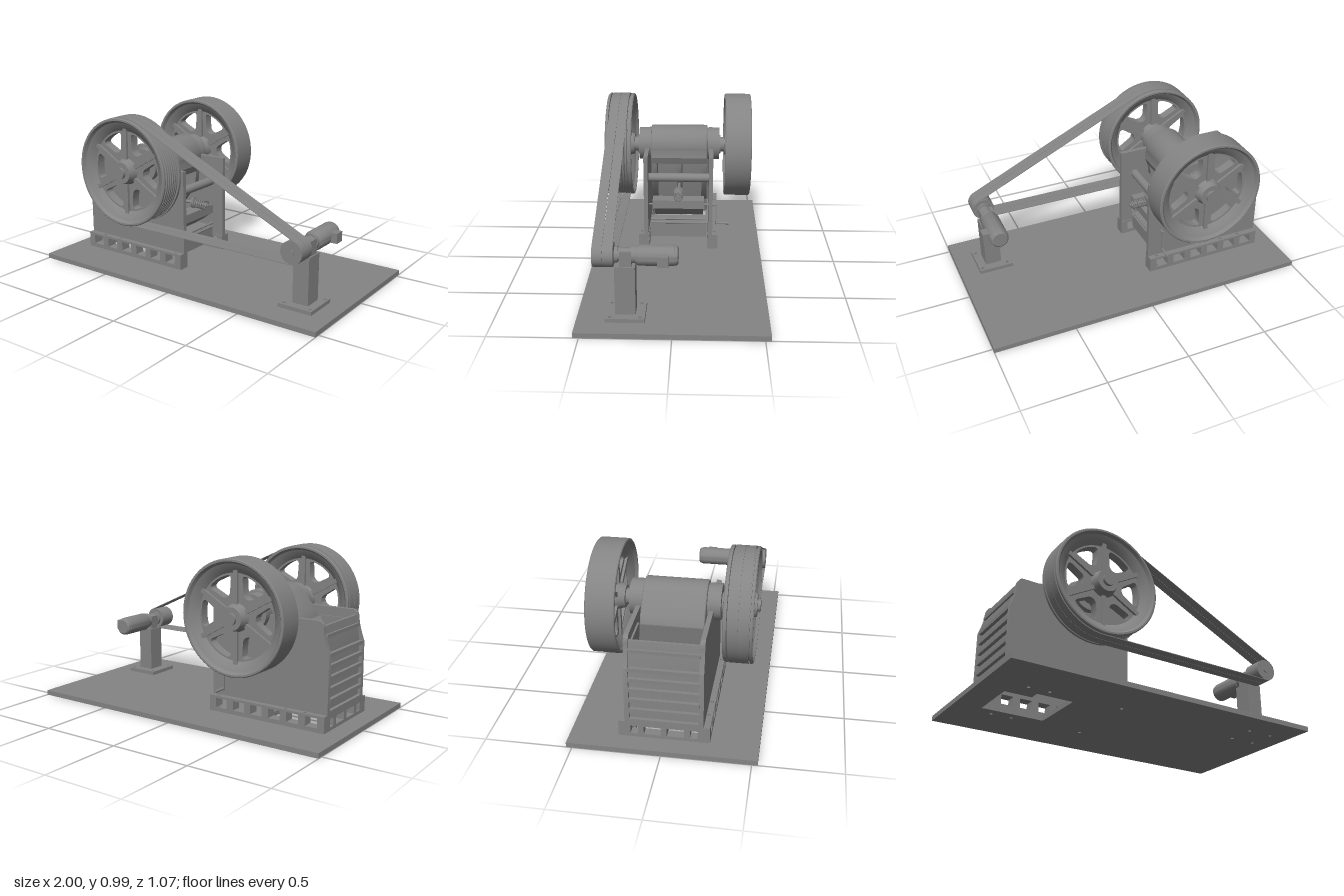
import * as THREE from 'three';
import { toCreasedNormals } from 'three/addons/utils/BufferGeometryUtils.js';

const mat = new THREE.MeshStandardMaterial({ color: 0x848484 });
const AX = -0.4, AY = 0.657;     // flywheel axle
const MX = 0.78, MY = 0.395;     // motor axle

export function createModel() {
  const model = new THREE.Group();

  const add = (name, geo, x = 0, y = 0, z = 0, parent = model) => {
    const m = new THREE.Mesh(geo, mat);
    m.name = name;
    m.position.set(x, y, z);
    parent.add(m);
    return m;
  };
  // box from its min and max corners
  const box = (name, x0, x1, y0, y1, z0, z1) =>
    add(name, new THREE.BoxGeometry(x1 - x0, y1 - y0, z1 - z0), (x0 + x1) / 2, (y0 + y1) / 2, (z0 + z1) / 2);
  // cylinder along z from z0 to z1
  const rod = (name, r, x, y, z0, z1, r2 = r, parent = model) =>
    add(name, new THREE.CylinderGeometry(r2, r, z1 - z0, 40).rotateX(Math.PI / 2), x, y, (z0 + z1) / 2, parent);
  // cylinder along x from x0 to x1
  const rodX = (name, r, x0, x1, y, z) =>
    add(name, new THREE.CylinderGeometry(r, r, x1 - x0, 20).rotateZ(Math.PI / 2), (x0 + x1) / 2, y, z);
  // xy outline swept from z0 to z1, with rounded end edges of size b
  const ext = (name, shape, z0, z1, parent = model, b = 0) =>
    add(name, toCreasedNormals(new THREE.ExtrudeGeometry(shape, {
      depth: z1 - z0 - 2 * b, curveSegments: 32, bevelEnabled: b > 0, bevelSize: b, bevelThickness: b, bevelOffset: -b, bevelSegments: 3,
    }), 0.5), 0, 0, z0 + b, parent);
  const poly = pts => new THREE.Shape(pts.map(p => new THREE.Vector2(...p)));
  const corners = (x0, x1, z0, z1) => [[x0, -z1], [x1, -z1], [x1, -z0], [x0, -z0]];
  // flat rectangle with round holes [x, z] and an optional rectangular opening
  const slab = (name, rect, y0, y1, holes, opening) => {
    const s = poly(corners(...rect));
    for (const [x, z] of holes) s.holes.push(new THREE.Path().absarc(x, -z, 0.01, 0, Math.PI * 2, true));
    if (opening) s.holes.push(poly(corners(...opening)));
    add(name, new THREE.ExtrudeGeometry(s, { depth: y1 - y0, bevelEnabled: false, curveSegments: 8 }).rotateX(-Math.PI / 2), 0, y0);
  };

  // Ground plate with discharge opening and bolt holes
  const footHoles = s => [-0.755, -0.627, -0.165].map(x => [x, s * 0.238]);
  const pedestalHoles = [0.695, 0.86].flatMap(x => [[x, 0.178], [x, 0.345]]);
  slab('groundPlate', [-1, 1, -0.533, 0.533], 0, 0.03, [...footHoles(1), ...footHoles(-1), ...pedestalHoles], [-0.84, -0.45, -0.18, 0.18]);

  // Crusher frame: side plates, bearings and windowed feet
  const side = poly([[-0.885, 0.12], [-0.112, 0.12], [-0.112, 0.655], [-0.81, 0.655]]);
  side.quadraticCurveTo(-0.845, 0.655, -0.848, 0.61);
  side.quadraticCurveTo(-0.85, 0.56, -0.885, 0.47);
  for (const s of [-1, 1]) {
    const span = (a, b) => s > 0 ? [a, b] : [-b, -a];
    ext('sidePlate', side, ...span(0.195, 0.222));
    rod('bearingHousing', 0.105, AX, 0.663, ...span(0.185, 0.262));
    rod('axleCollar', 0.06, AX, AY, ...span(0.262, 0.27));
    slab('footTopRail', [-0.885, -0.112, ...span(0.19, 0.258)], 0.113, 0.127, footHoles(s));
    slab('footBottomRail', [-0.885, -0.112, ...span(0.19, 0.258)], 0.03, 0.055, footHoles(s));
    for (let i = 0; i < 7; i++) {
      const x = -0.863 + i * 0.729 / 6;
      box('footPost', x - 0.022, x + 0.022, 0.05, 0.115, ...span(0.19, 0.258));
    }
    // cheek liners beside the crushing chamber
    ext('cheekLiner', poly([[-0.82, 0.14], [-0.74, 0.14], [-0.6, 0.6], [-0.82, 0.6]]), ...span(0.184, 0.196));
  }

  // Ribbed end wall and its foot
  ext('endWall', poly([[-0.865, 0.12], [-0.825, 0.12], [-0.825, 0.625], [-0.842, 0.625], [-0.865, 0.47]]), -0.2, 0.2);
  for (let i = 0; i < 6; i++) box('endWallRib', -0.886, -0.86, 0.125 + i * 0.066, 0.147 + i * 0.066, -0.2, 0.2);
  box('endWallTopRib', -0.862, -0.838, 0.56, 0.58, -0.2, 0.2);
  box('endFootTop', -0.885, -0.83, 0.1, 0.127, -0.2, 0.2);
  box('endFootBottom', -0.885, -0.83, 0.03, 0.05, -0.2, 0.2);
  for (let i = -1; i <= 1; i++) box('endFootPost', -0.885, -0.83, 0.05, 0.1, i * 0.13 - 0.016, i * 0.13 + 0.016);

  // Toothed jaw faces: a corrugated section swept along the jaw
  const jawFace = (name, length, dir) => {
    const n = 18, w = 0.36, pts = [[-w / 2, 0]];
    for (let i = 0; i < n; i++) pts.push([-w / 2 + w * i / n, 0.014], [-w / 2 + w * (i + 0.5) / n, 0.03]);
    pts.push([w / 2, 0.014], [w / 2, 0]);
    const g = new THREE.ExtrudeGeometry(poly(pts.reverse()), { depth: length, bevelEnabled: false });
    g.rotateX(-Math.PI / 2).rotateY(dir * Math.PI / 2);
    return add(name, g);
  };
  jawFace('fixedJaw', 0.46, -1).position.set(-0.825, 0.13, 0);
  const moving = jawFace('movingJawTeeth', 0.48, 1);
  moving.position.set(-0.73, 0.13, 0);
  moving.rotation.z = -0.29;

  // Swing jaw hanging from the axle, with a rounded head and ribbed back
  const jaw = poly([[-0.735, 0.13], [-0.53, 0.13], [-0.5, 0.26], [-0.45, 0.44], [-0.44, 0.555], [-0.285, 0.555], [-0.268, 0.6]]);
  jaw.absarc(AX, 0.66, 0.125, -0.1, 2.3, false);
  jaw.lineTo(-0.58, 0.64);
  jaw.lineTo(-0.598, 0.59);
  ext('swingJaw', jaw, -0.184, 0.184, model, 0.01);
  for (const [z, w] of [[-0.165, 0.018], [0, 0.017], [0.165, 0.018]])
    ext('swingJawRib', poly([[-0.52, 0.22], [-0.45, 0.26], [-0.3, 0.48], [-0.29, 0.56], [-0.46, 0.56]]), z - w, z + w);

  // Toggle, rear cross members and return spring
  rod('rearCrossBar', 0.028, -0.21, 0.488, -0.195, 0.2);
  box('toggleBlock', -0.26, -0.17, 0.285, 0.34, -0.165, 0.17);
  ext('togglePlate', poly([[-0.53, 0.2], [-0.52, 0.18], [-0.28, 0.26], [-0.28, 0.285]]), -0.155, 0.155);
  ext('adjustWedge', poly([[-0.31, 0.19], [-0.24, 0.235], [-0.175, 0.285], [-0.31, 0.285]]), -0.16, 0.16);
  box('wedgeSeat', -0.3, -0.19, 0.165, 0.19, -0.18, 0.18);
  box('lowerCrossBeam', -0.25, -0.19, 0.08, 0.168, -0.185, 0.185);
  for (const y of [0.182, 0.207]) rod('adjustRod', 0.007, -0.185, y, -0.18, 0.18);
  rodX('tensionRod', 0.01, -0.5, -0.08, 0.39, 0);
  rodX('tensionNut', 0.02, -0.1, -0.09, 0.39, 0);
  rodX('springSeat', 0.035, -0.205, -0.195, 0.39, 0);
  const coil = [];
  for (let i = 0; i <= 72; i++) {
    const a = i / 12 * Math.PI * 2;
    coil.push(new THREE.Vector3(-0.195 + 0.095 * i / 72, 0.39 + 0.026 * Math.cos(a), 0.026 * Math.sin(a)));
  }
  add('returnSpring', new THREE.TubeGeometry(new THREE.CatmullRomCurve3(coil), 150, 0.005, 6));

  // Adjusting crank on the rear side
  rod('crankShaft', 0.007, -0.2, 0.305, -0.25, 0.2);
  box('crankArm', -0.208, -0.192, 0.165, 0.312, -0.248, -0.242);
  rod('crankHandle', 0.008, -0.2, 0.175, -0.33, -0.245);

  // Axle
  rod('axle', 0.047, AX, AY, -0.3, 0.3);
  rod('axleEnds', 0.035, AX, AY, -0.477, 0.48);

  // Spoked flywheels
  const flywheel = (name, z, grooved) => {
    const g = new THREE.Group();
    g.name = name;
    g.position.set(AX, AY, z);
    model.add(g);
    const h = 0.083, R = 0.334;
    const outer = [[0.318, -h], [R - 0.005, -h], [R, -h + 0.005]];
    if (grooved) {
      outer.push([R, -0.062], [0.318, -0.06], [0.318, -0.054]);
      for (let i = 0; i < 6; i++) outer.push([0.329, -0.052 + i * 0.018], [0.329, -0.042 + i * 0.018], [0.318, -0.038 + i * 0.018]);
      outer.push([0.318, 0.064], [R, 0.066]);
    }
    outer.push([R, h - 0.005], [R - 0.005, h], [0.318, h], [0.305, 0.065], [0.275, 0.05], [0.248, 0.025], [0.248, -0.025], [0.275, -0.05], [0.305, -0.065], [0.318, -h]);
    const rim = new THREE.LatheGeometry(outer.map(p => new THREE.Vector2(...p)), 72).rotateX(Math.PI / 2);
    add('rim', toCreasedNormals(rim, 0.4), 0, 0, 0, g);
    // web disc with six windows and a rib on each spoke
    const web = new THREE.Shape().absarc(0, 0, 0.265, 0, Math.PI * 2, false);
    for (let i = 0; i < 6; i++) {
      const a = i * Math.PI / 3;
      const at = (r, d) => [r * Math.cos(a + d), r * Math.sin(a + d)];
      const w = new THREE.Path().moveTo(...at(0.14, -0.2));
      w.lineTo(...at(0.215, -0.34));
      w.quadraticCurveTo(...at(0.24, -0.36), ...at(0.24, -0.25));
      w.absarc(0, 0, 0.24, a - 0.25, a + 0.25, false);
      w.quadraticCurveTo(...at(0.24, 0.36), ...at(0.215, 0.34));
      w.lineTo(...at(0.14, 0.2));
      w.quadraticCurveTo(...at(0.115, 0), ...at(0.14, -0.2));
      web.holes.push(w);
      const spoke = add('spokeRib', new THREE.BoxGeometry(0.2, 0.026, 0.086), 0, 0, 0, g);
      spoke.position.set(...at(0.17, Math.PI / 6), 0);
      spoke.rotation.z = a + Math.PI / 6;
    }
    ext('web', web, -0.028, 0.028, g);
    rod('hubFront', 0.09, 0, 0, 0, 0.083, 0.066, g);
    rod('hubBack', 0.066, 0, 0, -0.083, 0, 0.09, g);
  };
  flywheel('frontFlywheel', 0.378, true);
  flywheel('rearFlywheel', -0.378, false);

  // Pair of drive belts: outer tangents around both pulleys
  const dx = MX - AX, dy = MY - AY;
  const phi = Math.atan2(dy, dx), beta = Math.acos(0.265 / Math.hypot(dx, dy));
  const loop = (P, t) => new P()
    .absarc(AX, AY, 0.335 - t, phi + beta, phi - beta + Math.PI * 2, false)
    .absarc(MX, MY, 0.07 - t, phi - beta, phi + beta, false)
    .closePath();
  const belt = loop(THREE.Shape, 0);
  belt.holes.push(loop(THREE.Path, 0.004));
  ext('outerBelt', belt, 0.382, 0.437);
  ext('innerBelt', belt, 0.325, 0.38);

  // Motor with pulley, gearbox and pedestal
  rod('motorPulley', 0.066, MX, MY, 0.322, 0.435);
  rod('pulleyHub', 0.018, MX, MY, 0.3, 0.44);
  rod('gearboxFlange', 0.046, MX, MY, 0.3, 0.318);
  rod('gearboxNeck', 0.038, MX, MY, 0.225, 0.3);
  box('gearbox', MX - 0.042, MX + 0.042, 0.335, 0.425, 0.225, 0.29);
  rod('motorFlange', 0.048, MX, MY, 0.2, 0.225);
  // stepped motor housing with rounded ends
  const housing = [[0, -0.03], [0.045, -0.03], [0.054, -0.022], [0.056, -0.008], [0.058, -0.006], [0.058, 0.185], [0.05, 0.202], [0, 0.202]];
  add('motorHousing', toCreasedNormals(new THREE.LatheGeometry(housing.map(p => new THREE.Vector2(...p)), 40).rotateX(Math.PI / 2).scale(1, 1, 1), 0.5), MX, 0.392, 0);
  box('terminalBox', MX + 0.04, 0.872, 0.36, 0.42, 0.02, 0.082);
  box('pedestal', 0.73, 0.83, 0.05, 0.338, 0.205, 0.318);
  slab('pedestalFoot', [0.667, 0.882, 0.152, 0.372], 0.03, 0.053, pedestalHoles);

  return model;
}
